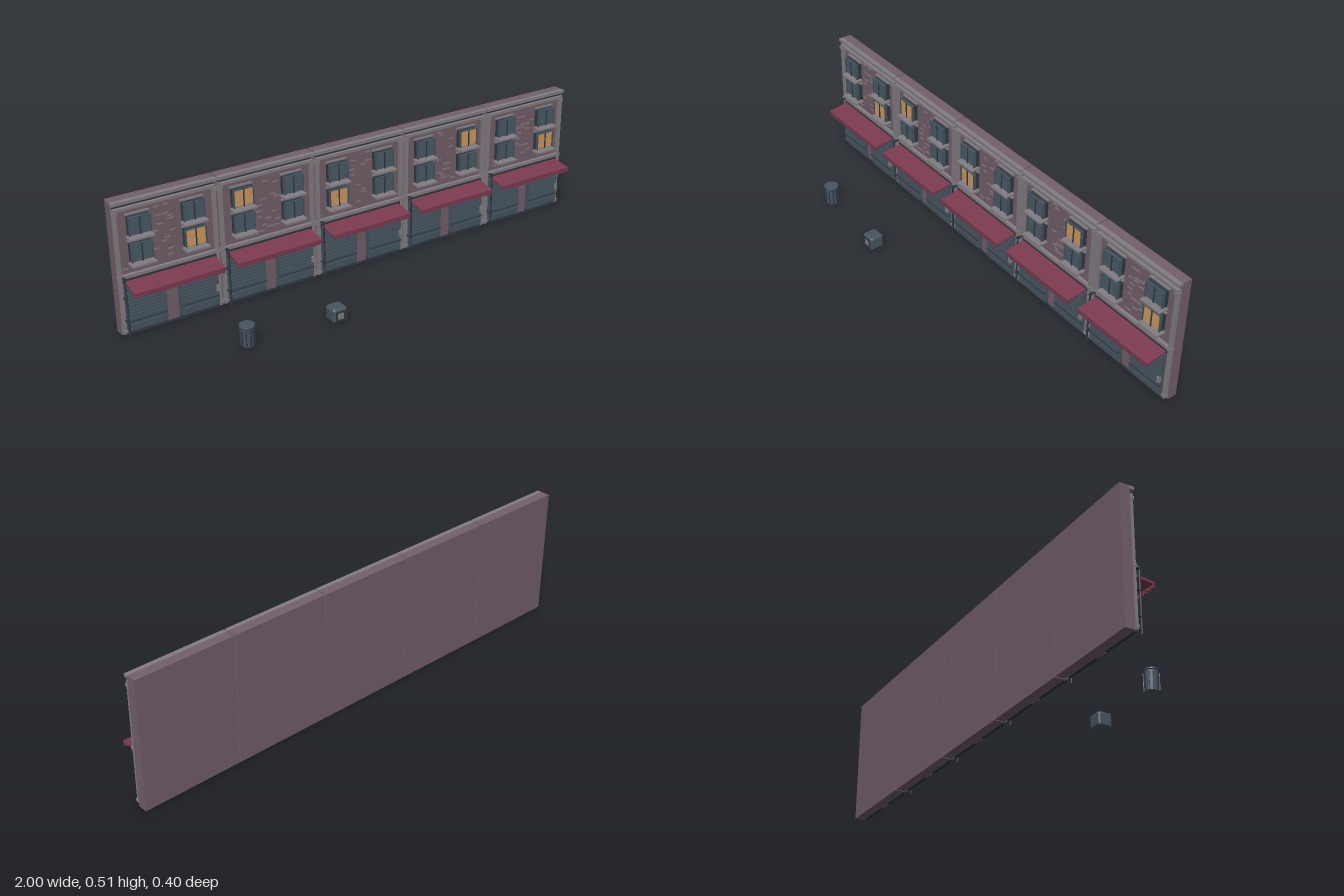
import * as THREE from 'three';
import { RoundedBoxGeometry } from 'three/addons/geometries/RoundedBoxGeometry.js';

const mat = (name, color) => {
  const m = new THREE.MeshStandardMaterial({ color });
  m.name = name;
  return m;
};

export function createModel() {
  const wall = mat('mauve brick', 0x735f6a);
  const pale = mat('pale brick', 0x87737c);
  const trim = mat('grey stone', 0x827d82);
  const steel = mat('slate steel', 0x46545f);
  const dark = mat('dark iron', 0x2f3a43);
  const glass = mat('dim glass', 0x4a5c68);
  const lit = mat('lit glass', 0xcf9a60);
  const red = mat('wine canvas', 0x7c3b50);

  const root = new THREE.Group();
  root.name = 'shopRow';

  const add = (parent, name, geo, material, x = 0, y = 0, z = 0) => {
    const m = new THREE.Mesh(geo, material);
    m.name = name;
    m.position.set(x, y, z);
    parent.add(m);
    return m;
  };
  // box given by centre x, width, and y and z ranges
  const box = (parent, name, material, x, w, y0, y1, z0, z1) =>
    add(parent, name, new THREE.BoxGeometry(w, y1 - y0, z1 - z0), material, x, (y0 + y1) / 2, (z0 + z1) / 2);

  let seed = 7;
  const rand = () => (seed = (seed * 16807) % 2147483647) / 2147483647;

  function window_(parent, x, y, isLit) {
    const g = new THREE.Group();
    g.name = 'window';
    g.position.set(x, y, 0);
    parent.add(g);
    const pane = isLit ? lit : glass;
    box(g, 'windowRecess', dark, 0, 0.082, 0, 0.07, -0.162, -0.141);
    for (const s of [-1, 1]) {
      box(g, 'pane', pane, s * 0.0195, 0.034, 0.003, 0.067, -0.141, -0.137);
      box(g, 'frameSide', steel, s * 0.0395, 0.004, 0, 0.07, -0.145, -0.134);
    }
    box(g, 'mullion', dark, 0, 0.004, 0, 0.07, -0.141, -0.134);
    box(g, 'frameTop', steel, 0, 0.082, 0.067, 0.07, -0.145, -0.134);
    box(g, 'sill', trim, 0, 0.092, -0.014, -0.007, -0.162, -0.121);
    box(g, 'lintel', trim, 0, 0.09, 0.072, 0.078, -0.162, -0.153);
  }

  function shutter(parent, x) {
    const g = new THREE.Group();
    g.name = 'shutter';
    g.position.x = x;
    parent.add(g);
    box(g, 'shutterPanel', steel, 0, 0.154, 0.018, 0.205, -0.162, -0.138);
    for (let i = 0; i < 12; i++) {
      const y = 0.036 + i * 0.013;
      box(g, 'slat', steel, 0, 0.146, y, y + 0.0105, -0.138, -0.132);
    }
    box(g, 'shutterRail', dark, 0, 0.15, 0.058, 0.061, -0.138, -0.13);
    box(g, 'shutterFoot', dark, 0, 0.154, 0.005, 0.018, -0.162, -0.145);
  }

  // sloping canopy profile, drawn in (z, y)
  const profile = new THREE.Shape([
    [-0.147, 0.204], [-0.07, 0.195], [-0.07, 0.187], [-0.063, 0.187], [-0.063, 0.203], [-0.147, 0.213],
  ].map(([z, y]) => new THREE.Vector2(-z, y)));
  const canopyGeo = new THREE.ExtrudeGeometry(profile, { depth: 0.35, bevelEnabled: false });
  canopyGeo.rotateY(Math.PI / 2).translate(-0.175, 0, 0);

  function facade(index) {
    const g = new THREE.Group();
    g.name = 'building';
    g.position.x = (index - 2) * 0.401;
    root.add(g);
    box(g, 'wall', wall, 0, 0.396, 0, 0.515, -0.2, -0.161);

    // loose pale bricks set on the upper wall
    for (let row = 0; row < 19; row++) {
      const y = 0.25 + row * 0.0115;
      for (let k = 0; k < 3; k++) {
        const x = (rand() - 0.5) * 0.32;
        const nearWindow = Math.abs(Math.abs(x) - 0.103) < 0.06
          && ((y > 0.26 && y < 0.357) || (y > 0.36 && y < 0.458));
        if (!nearWindow) box(g, 'brick', pale, x, 0.022, y, y + 0.005, -0.162, -0.158);
      }
    }

    // corner pilasters with capitals
    for (const s of [-1, 1]) {
      box(g, 'pilaster', trim, s * 0.188, 0.013, 0.006, 0.49, -0.162, -0.147);
      for (const [y0, y1] of [[0.012, 0.023], [0.222, 0.235], [0.468, 0.48]])
        box(g, 'capital', trim, s * 0.188, 0.018, y0, y1, -0.162, -0.144);
    }
    // stone bands
    box(g, 'cornice', trim, 0, 0.396, 0.503, 0.515, -0.162, -0.144);
    box(g, 'frieze', trim, 0, 0.384, 0.48, 0.49, -0.162, -0.145);
    box(g, 'corniceShadowGap', dark, 0, 0.384, 0.49, 0.503, -0.162, -0.158);
    box(g, 'shopBand', trim, 0, 0.37, 0.222, 0.234, -0.162, -0.147);
    box(g, 'shopFascia', dark, 0, 0.362, 0.203, 0.222, -0.162, -0.147);
    box(g, 'plinth', dark, 0, 0.37, 0.002, 0.01, -0.162, -0.146);

    // upper windows, one of the four lit
    const litSlot = ['1,0', '-1,1', '-1,0', '1,1', '1,0'][index];
    for (const s of [-1, 1])
      for (const r of [0, 1]) window_(g, s * 0.103, r ? 0.383 : 0.281, litSlot === `${s},${r}`);

    // shopfront
    for (const s of [-1, 1]) shutter(g, s * 0.103);
    box(g, 'centrePier', wall, 0, 0.046, 0, 0.205, -0.162, -0.15);
    box(g, 'meterBox', trim, 0.172, 0.012, 0.08, 0.104, -0.145, -0.127);

    // awning with a toothed valance
    add(g, 'awning', canopyGeo, red);
    for (let i = 0; i < 18; i++)
      box(g, 'valanceTab', red, -0.1653 + i * 0.01945, 0.013, 0.183, 0.188, -0.07, -0.063);

    // drainpipe at the left edge of the shopfront
    add(g, 'drainpipe', new THREE.CylinderGeometry(0.0035, 0.0035, 0.238, 8), dark, -0.181, 0.119, -0.125);
    for (const y of [0.06, 0.15, 0.228])
      box(g, 'pipeBracket', dark, -0.181, 0.01, y, y + 0.005, -0.147, -0.121);
  }
  for (let i = 0; i < 5; i++) facade(i);

  // ribbed dustbin
  const bin = new THREE.Group();
  bin.name = 'dustbin';
  bin.position.set(-0.66, 0, 0.14);
  root.add(bin);
  add(bin, 'binBody', new THREE.CylinderGeometry(0.027, 0.025, 0.075, 20), steel, 0, 0.0375, 0);
  add(bin, 'binLid', new THREE.CylinderGeometry(0.028, 0.03, 0.006, 20), steel, 0, 0.077, 0);
  const rim = add(bin, 'binRim', new THREE.TorusGeometry(0.028, 0.0025, 6, 20), dark, 0, 0.075, 0);
  rim.rotation.x = Math.PI / 2;
  for (let i = 0; i < 10; i++) {
    const a = (i / 10) * Math.PI * 2;
    const rib = add(bin, 'binRib', new THREE.BoxGeometry(0.004, 0.066, 0.004), dark,
      Math.sin(a) * 0.0262, 0.036, Math.cos(a) * 0.0262);
    rib.rotation.y = a;
  }

  // rounded street cabinet
  const crate = new THREE.Group();
  crate.name = 'cabinet';
  crate.position.set(-0.312, 0, 0.168);
  root.add(crate);
  add(crate, 'cabinetBody', new RoundedBoxGeometry(0.06, 0.057, 0.058, 3, 0.01), steel, 0, 0.0295, 0);
  box(crate, 'cabinetFrame', dark, 0, 0.042, 0.01, 0.048, 0.026, 0.0305);
  box(crate, 'cabinetScreen', trim, 0, 0.024, 0.016, 0.04, 0.0295, 0.032);

  return root;
}
